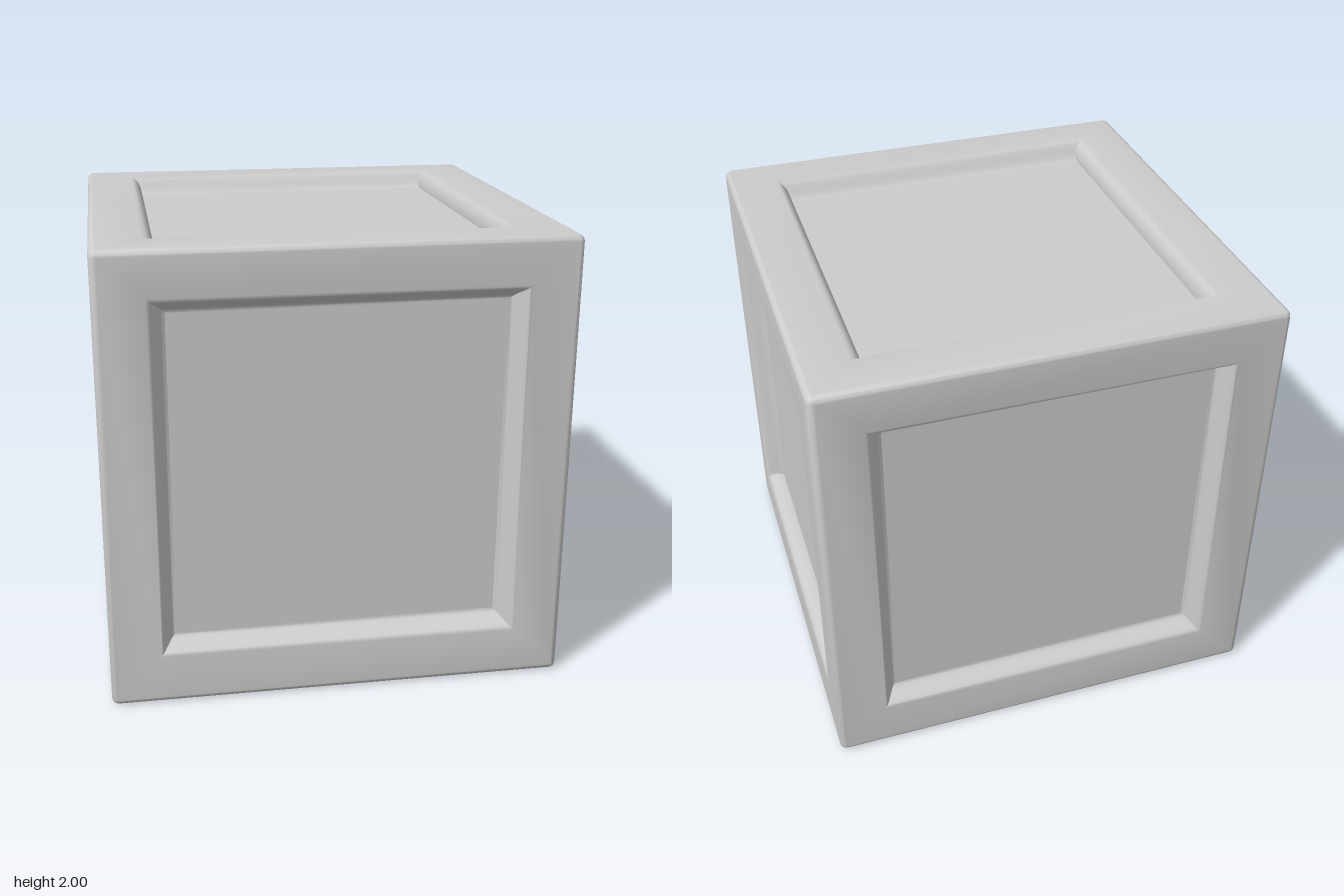
import * as THREE from 'three';
import { toCreasedNormals } from 'three/addons/utils/BufferGeometryUtils.js';

const EDGE = 0.03;   // radius of the outer edges
const DEPTH = 0.08;  // depth of the recessed panels
const STEPS = 10;    // rings from the opening down to the panel

// u and v span the face, u x v points outward. hard: the axis whose walls end steeply.
const FACES = [
  { name: 'front',  u: [1, 0, 0],  v: [0, 1, 0],  open: [0.785, -0.78, 0.8] },
  { name: 'back',   u: [-1, 0, 0], v: [0, 1, 0],  open: [0.785, -0.78, 0.8] },
  { name: 'right',  u: [0, 0, 1],  v: [0, 1, 0],  open: [0.795, -0.78, 0.8], hard: 'v' },
  { name: 'left',   u: [0, 0, -1], v: [0, 1, 0],  open: [0.795, -0.78, 0.8], hard: 'v' },
  { name: 'top',    u: [1, 0, 0],  v: [0, 0, -1], open: [0.785, -0.795, 0.795], hard: 'u' },
  { name: 'bottom', u: [1, 0, 0],  v: [0, 0, 1],  open: [0.785, -0.795, 0.795], hard: 'u' },
];

// Rectangular loop with three points per corner; the outer ones get rounded
function ring(u0, u1, v0, v1, w) {
  const k = 1 - EDGE;
  const c = (x) => THREE.MathUtils.clamp(x, -k, k);
  return [
    [c(u0), v0], [c(u1), v0], [u1, v0],
    [u1, c(v0)], [u1, c(v1)], [u1, v1],
    [c(u1), v1], [c(u0), v1], [u0, v1],
    [u0, c(v1)], [u0, c(v0)], [u0, v0],
  ].map(([a, b]) => new THREE.Vector3(a, b, w));
}

// Push points of the sharp cube's border onto a rounded edge
function roundEdge(p) {
  const k = 1 - EDGE;
  const core = p.clone().clampScalar(-k, k);
  const out = p.clone().sub(core);
  if (Math.max(Math.abs(p.x), Math.abs(p.y)) > k + 1e-6) {
    p.copy(core).addScaledVector(out.normalize(), EDGE);
  }
  return p;
}

function faceRings({ open: [hu, v0, v1], hard }) {
  const rings = [];
  // rounded outer edge, ending at the mitre with the next face
  for (let i = 4; i >= 0; i--) {
    const h = 1 - EDGE + EDGE * Math.tan(i * Math.PI / 16);
    rings.push(ring(-h, h, -h, h, 1).map(roundEdge));
  }
  // lip and wall of the recess
  for (let i = 0; i <= STEPS; i++) {
    const s = i / STEPS;
    const t = (1 - Math.cos(Math.PI * s)) / 2;
    const soft = 0.075 * s;
    const steep = 0.055 * Math.sqrt(1 - (1 - t) ** 2);
    const du = hard === 'u' ? steep : soft;
    const dv = hard === 'v' ? steep : soft;
    rings.push(ring(-hu + du, hu - du, v0 + dv, v1 - dv, 1 - DEPTH * t));
  }
  return rings;
}

function toGeometry(points) {
  return new THREE.BufferGeometry().setFromPoints(points);
}

function addTriangle(list, a, b, c) {
  const area = b.clone().sub(a).cross(c.clone().sub(a)).length();
  if (area > 1e-9) list.push(a, b, c);
}

export function createModel() {
  const group = new THREE.Group();
  const material = new THREE.MeshStandardMaterial({ color: 0xcccccc });
  const framePoints = [];

  for (const face of FACES) {
    const u = new THREE.Vector3(...face.u);
    const v = new THREE.Vector3(...face.v);
    const n = u.clone().cross(v);
    // the side faces need u x v outward
    if ((face.name === 'right' && n.x < 0) || (face.name === 'left' && n.x > 0)) {
      u.negate();
      n.negate();
    }
    const basis = new THREE.Matrix4().makeBasis(u, v, n).setPosition(0, 1, 0);
    const rings = faceRings(face);
    rings.flat().forEach((p) => p.applyMatrix4(basis));

    // frame border and recess walls
    for (let r = 0; r < rings.length - 1; r++) {
      const a = rings[r], b = rings[r + 1];
      for (let i = 0; i < a.length; i++) {
        const j = (i + 1) % a.length;
        addTriangle(framePoints, a[i], a[j], b[j]);
        addTriangle(framePoints, a[i], b[j], b[i]);
      }
    }

    // flat recessed panel
    const last = rings[rings.length - 1];
    const [p0, p1, p2, p3] = [last[11], last[2], last[5], last[8]];
    const panelGeometry = toGeometry([p0, p1, p2, p0, p2, p3]);
    panelGeometry.computeVertexNormals();
    const panel = new THREE.Mesh(panelGeometry, material);
    panel.name = face.name + 'Panel';
    group.add(panel);
  }

  const frame = new THREE.Mesh(toCreasedNormals(toGeometry(framePoints), 0.7), material);
  frame.name = 'frame';
  group.add(frame);
  return group;
}
